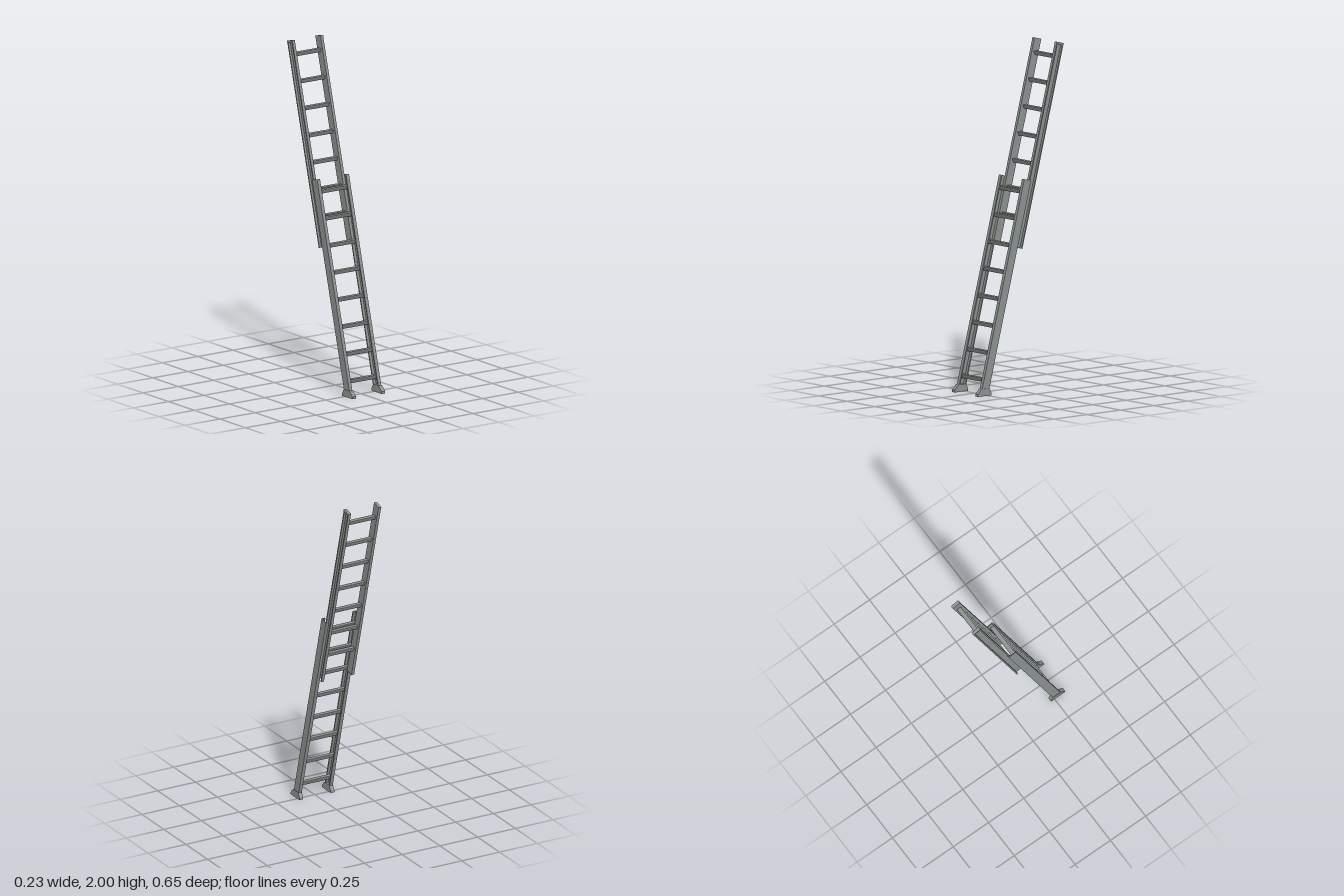
import * as THREE from 'three';

const LEAN = 0.26;      // backward tilt in radians
const BASE_Z = 0.276;   // where the lower rails meet the ground

// Extrudes a closed outline and centres nothing: depth runs along +z
function prism(points, depth) {
  const shape = new THREE.Shape(points.map(([x, y]) => new THREE.Vector2(x, y)));
  return new THREE.ExtrudeGeometry(shape, { depth, bevelEnabled: false });
}

// C-shaped rail: web at x = web, flanges reaching to x = lip, extruded upwards
function channelRail(side, web, lip, length) {
  const d = 0.026, t = 0.008;
  const w = web + Math.sign(lip - web) * 0.004;
  const outline = [[web, -d], [lip, -d], [lip, -d + t], [w, -d + t], [w, d - t], [lip, d - t], [lip, d], [web, d]];
  return prism(outline.map(([x, y]) => [x * side, y]), length).rotateX(-Math.PI / 2);
}

// Flat-topped rung narrowing downwards, lying along x
function rungGeometry(halfWidth) {
  const outline = [[-0.0135, 0.011], [-0.0135, 0.007], [-0.004, -0.012], [0.004, -0.012], [0.0135, 0.007], [0.0135, 0.011]];
  return prism(outline, halfWidth * 2).rotateY(-Math.PI / 2).translate(halfWidth, 0, 0);
}

export function createModel() {
  const aluminium = new THREE.MeshStandardMaterial({ color: 0x8a918f });
  const model = new THREE.Group();
  model.name = 'extensionLadder';

  const add = (parent, name, geometry, x = 0, y = 0, z = 0) => {
    const mesh = new THREE.Mesh(geometry, aluminium);
    mesh.name = name;
    mesh.position.set(x, y, z);
    parent.add(mesh);
    return mesh;
  };

  // Tilted frame holding both pairs of rails
  const rails = new THREE.Group();
  rails.name = 'rails';
  rails.position.z = BASE_Z;
  rails.rotation.x = -LEAN;
  model.add(rails);

  for (const side of [1, -1]) {
    const label = side > 0 ? 'left' : 'right';
    // Lower rails open inwards, upper rails open outwards
    add(rails, label + 'LowerRail', channelRail(side, 0.113, 0.092, 1.249), 0, 0.015, 0);
    add(rails, label + 'UpperRail', channelRail(side, 0.091, 0.109, 1.193), 0, 0.871, -0.041);
    add(rails, label + 'EndCap', new THREE.BoxGeometry(0.019, 0.012, 0.053), side * 0.1, 2.068, -0.041);

    // Flared foot
    const foot = prism([[-0.05, 0], [0.05, 0], [0.05, 0.014], [0.022, 0.042], [-0.034, 0.042], [-0.05, 0.014]], 0.024);
    foot.rotateY(-Math.PI / 2).translate(0.012, 0, 0);
    add(model, label + 'Foot', foot, side * 0.1035, 0, 0.275);
  }

  // Rungs of both sections, kept level
  const rungs = new THREE.Group();
  rungs.name = 'rungs';
  model.add(rungs);
  const lowerRung = rungGeometry(0.109);
  const upperRung = rungGeometry(0.092);
  for (let i = 0; i < 13; i++) {
    const y = 0.088 + i * 0.152;
    const z = BASE_Z - y * Math.tan(LEAN);
    if (i < 8) add(rungs, 'lowerRung', lowerRung, 0, y, z + 0.002);
    if (i > 5) add(rungs, 'upperRung', upperRung, 0, y, z - 0.046);
  }
  return model;
}
